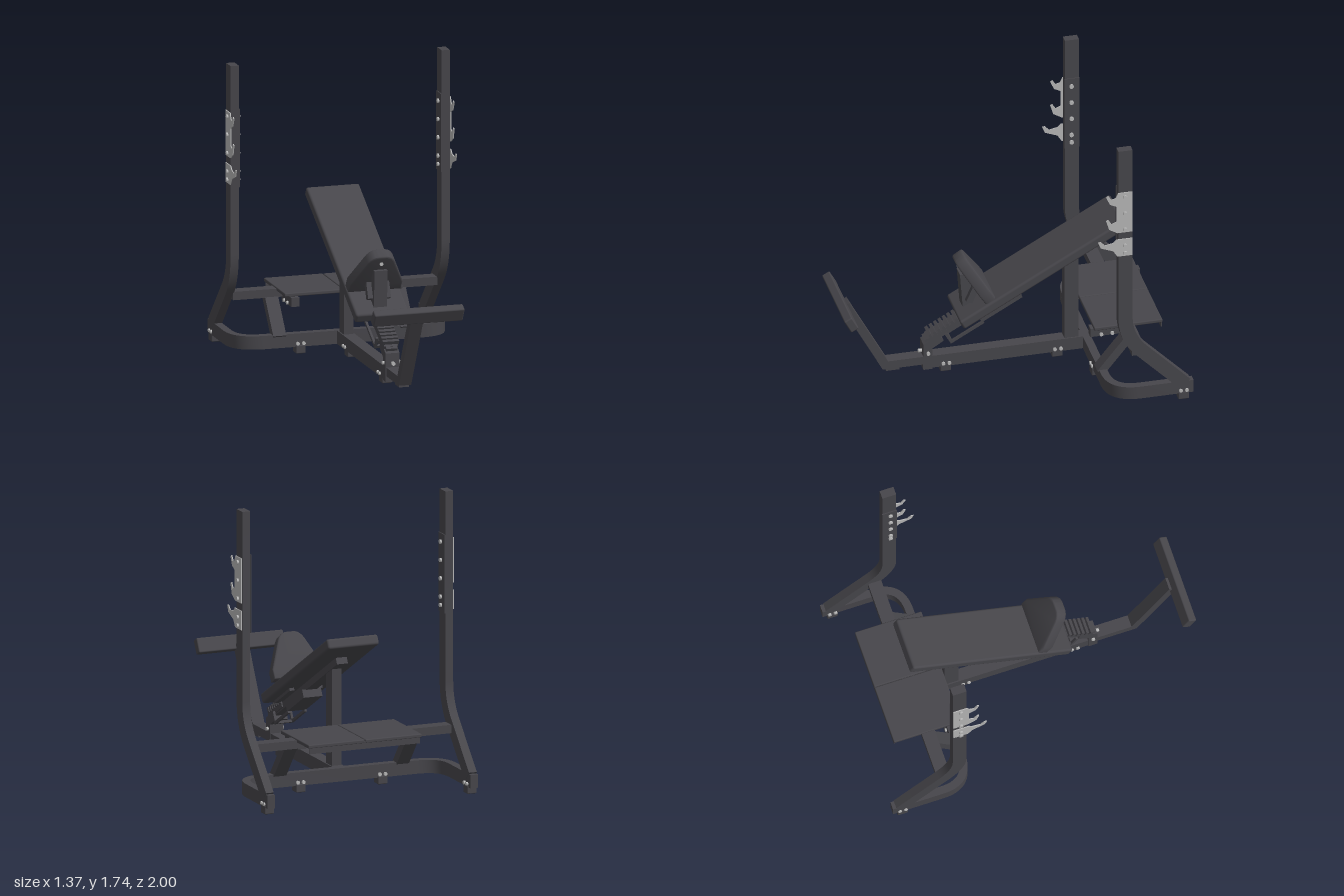
import * as THREE from 'three';
import { toCreasedNormals } from 'three/addons/utils/BufferGeometryUtils.js';
import { RoundedBoxGeometry } from 'three/addons/geometries/RoundedBoxGeometry.js';

const V = (x, y, z) => new THREE.Vector3(x, y, z);
const X = V(1, 0, 0), Y = V(0, 1, 0);

// Round the inner corners of a polyline
function bend(pts, cut) {
  const out = [pts[0]];
  for (let i = 1; i < pts.length - 1; i++) {
    const a = pts[i].clone().add(pts[i - 1].clone().sub(pts[i]).setLength(cut));
    const b = pts[i].clone().add(pts[i + 1].clone().sub(pts[i]).setLength(cut));
    out.push(...new THREE.QuadraticBezierCurve3(a, pts[i], b).getPoints(10));
  }
  out.push(pts[pts.length - 1]);
  return out;
}

// Rectangular tube along a planar path with mitred joints;
// w is measured along the plane's normal b, h within the plane
function tubeGeometry(pts, b, w, h) {
  const pos = [], idx = [], last = pts.length - 1;
  pts.forEach((p, i) => {
    const t0 = pts[Math.max(i, 1)].clone().sub(pts[Math.max(i, 1) - 1]).normalize();
    const k = Math.min(i, last - 1);
    const t1 = pts[k + 1].clone().sub(pts[k]).normalize();
    const t = t0.clone().add(t1).normalize();
    const n = t.clone().cross(b).multiplyScalar(h / 2 / t.dot(t1));
    for (const [sb, sn] of [[1, 1], [-1, 1], [-1, -1], [1, -1]]) {
      const q = p.clone().addScaledVector(b, sb * w / 2).addScaledVector(n, sn);
      pos.push(q.x, q.y, q.z);
    }
    if (i < last) for (let c = 0; c < 4; c++) {
      const a0 = i * 4 + c, a1 = i * 4 + (c + 1) % 4;
      idx.push(a0, a1, a1 + 4, a0, a1 + 4, a0 + 4);
    }
  });
  const e = last * 4;
  idx.push(e, e + 1, e + 2, e, e + 2, e + 3, 2, 1, 0, 3, 2, 0);
  const g = new THREE.BufferGeometry();
  g.setAttribute('position', new THREE.Float32BufferAttribute(pos, 3));
  g.setIndex(idx);
  return toCreasedNormals(g, 0.5);
}

export function createModel() {
  const model = new THREE.Group();
  model.name = 'inclineBench';
  const mat = (name, color) => Object.assign(new THREE.MeshStandardMaterial({ color }), { name });
  const frame = mat('charcoal', 0x47464b);
  const steel = mat('brightSteel', 0xb8b8b8);

  const add = (name, geo, m = frame, parent = model) => {
    const mesh = new THREE.Mesh(geo, m);
    mesh.name = name;
    parent.add(mesh);
    return mesh;
  };
  const box = (name, w, h, d, x, y, z, parent = model, r = 0) => {
    const g = r ? new RoundedBoxGeometry(w, h, d, 3, r) : new THREE.BoxGeometry(w, h, d);
    const mesh = add(name, g, frame, parent);
    mesh.position.set(x, y, z);
    return mesh;
  };
  const tube = (name, pts, b, w, h) => add(name, tubeGeometry(pts, b, w, h));
  const bolt = (x, y, z, axis = 'x', len = 0.015, r = 0.011) => {
    const mesh = add('bolt', new THREE.CylinderGeometry(r, r, len, 12), steel);
    mesh.position.set(x, y, z);
    if (axis === 'x') mesh.rotation.z = Math.PI / 2; else mesh.rotation.x = Math.PI / 2;
  };

  // Base: curved rear frame and central spine
  tube('baseFrame', bend([V(-0.645, 0.08, -1), V(-0.645, 0.08, -0.515),
    V(0.645, 0.08, -0.515), V(0.645, 0.08, -1)], 0.17), Y, 0.08, 0.048);
  box('spine', 0.075, 0.08, 0.98, 0, 0.08, -0.02);
  box('spinePost', 0.06, 0.6, 0.085, 0, 0.4, -0.425);
  tube('frontPost', [V(0, 0.035, 0.44), V(0, 0.19, 0.44), V(0, 0.24, 0.36)], X, 0.085, 0.055);
  bolt(0, 0.145, 0.44, 'x', 0.11);
  bolt(0, 0.145, 0.47, 'z', 0.04);

  // Foot rest arm and cross pad
  tube('footRestArm', [V(0, 0.095, 0.45), V(0, 0.095, 0.695), V(0, 0.54, 0.935)], X, 0.075, 0.052);
  const foot = box('footRest', 0.55, 0.09, 0.052, 0, 0.545, 0.957, model, 0.008);
  foot.rotation.x = 0.5;
  box('armFoot', 0.06, 0.02, 0.08, 0, 0.063, 0.65);

  // Uprights, platform posts and racking plates on both sides
  const upperHook = [[-0.63, 1.46], [-0.63, 1.19], [-0.54, 1.19], [-0.49, 1.22], [-0.472, 1.28],
    [-0.485, 1.287], [-0.505, 1.255], [-0.535, 1.268], [-0.535, 1.37], [-0.495, 1.39],
    [-0.472, 1.44], [-0.485, 1.45], [-0.505, 1.42], [-0.53, 1.428], [-0.545, 1.46]];
  const lowerHook = [[-0.63, 1.145], [-0.63, 1.03], [-0.54, 1.03], [-0.515, 1.07], [-0.44, 1.1],
    [-0.423, 1.14], [-0.44, 1.142], [-0.465, 1.115], [-0.515, 1.125], [-0.535, 1.145]];
  for (const s of [-1, 1]) {
    tube('upright', bend([V(s * 0.645, 1.74, -0.59), V(s * 0.645, 0.465, -0.59),
      V(s * 0.645, 0.1, -0.95)], 0.14), X, 0.05, 0.085);
    for (const pts of [upperHook, lowerHook]) {
      const shape = new THREE.Shape(pts.map(([z, y]) => new THREE.Vector2(-z, y)));
      const g = new THREE.ExtrudeGeometry(shape, { depth: 0.006, bevelEnabled: false });
      g.rotateY(Math.PI / 2).translate(s * 0.673 - 0.003, 0, 0);
      add('rackingHook', g, steel);
    }
    box('innerPlate', 0.006, 0.47, 0.09, s * 0.617, 1.245, -0.59);
    for (const y of [1.05, 1.1, 1.21, 1.32, 1.43]) {
      bolt(s * 0.68, y, -0.585, 'x', 0.014, 0.013);
      bolt(s * 0.61, y, -0.585, 'x', 0.014, 0.013);
    }
    tube('platformPost', [V(s * 0.39, 0.1, -0.5), V(s * 0.39, 0.335, -0.69)], X, 0.08, 0.05);
    box('platformBracket', 0.05, 0.055, 0.19, s * 0.3, 0.315, -0.56);
    for (const z of [-0.53, -0.595]) bolt(s * 0.328, 0.3, z);
    box('platformPanel', 0.359, 0.022, 0.41, s * 0.181, 0.357, -0.685, model, 0.006);
  }
  box('crossbar', 1.25, 0.05, 0.08, 0, 0.335, -0.68);
  box('platformLip', 0.7, 0.045, 0.006, 0, 0.335, -0.885);

  // Rubber feet with their bolts
  for (const [x, z] of [[0, 0.33], [0, -0.34], [0.26, -0.515], [-0.26, -0.515], [0.643, -0.94], [-0.643, -0.94]]) {
    box('foot', 0.06, 0.05, 0.065, x, 0.025, z, model, 0.006);
    const cross = Math.abs(x) === 0.26;
    for (const o of [-0.018, 0.018]) for (const s of [-1, 1]) {
      if (cross) bolt(x + o, 0.06, z + s * 0.027, 'z');
      else bolt(x + s * (x ? 0.027 : 0.04), 0.06, z + o);
    }
  }

  // Inclined back pad with its rail, in tilted local axes
  const incline = new THREE.Group();
  incline.name = 'incline';
  incline.position.set(0, 0.645, -0.224);
  incline.rotation.x = 0.508;
  model.add(incline);
  box('backPad', 0.325, 0.062, 1.12, 0, 0, 0, incline, 0.014);
  box('inclineRail', 0.07, 0.042, 1.14, 0, -0.05, 0.23, incline);
  for (let i = 0; i < 7; i++) box('ladderTooth', 0.1, 0.03, 0.018, 0, -0.02, 0.575 + i * 0.03, incline);
  box('ladderBase', 0.085, 0.035, 0.22, 0, -0.045, 0.67, incline);
  box('slideHousing', 0.12, 0.05, 0.28, 0, -0.092, 0.32, incline);
  for (const s of [-1, 1]) {
    box('handleBar', 0.014, 0.016, 0.23, s * 0.053, -0.122, 0.565, incline);
    box('handleStem', 0.014, 0.075, 0.016, s * 0.053, -0.092, 0.672, incline);
    box('padBracket', 0.03, 0.02, 0.25, s * 0.09, -0.038, 0.38, incline);
  }
  box('handleGrip', 0.12, 0.016, 0.016, 0, -0.122, 0.672, incline);

  // Tapered seat pad and its support
  const s = new THREE.Shape();
  s.moveTo(-0.152, 0.01);
  s.lineTo(0.152, 0.01);
  s.lineTo(0.152, 0.06);
  s.lineTo(0.075, 0.235);
  s.quadraticCurveTo(0.055, 0.276, 0.02, 0.276);
  s.lineTo(-0.02, 0.276);
  s.quadraticCurveTo(-0.055, 0.276, -0.075, 0.235);
  s.lineTo(-0.152, 0.06);
  const seatGeo = new THREE.ExtrudeGeometry(s, {
    depth: 0.05, bevelThickness: 0.01, bevelSize: 0.01, bevelSegments: 3, curveSegments: 8 });
  seatGeo.translate(0, 0, -0.025);
  const seat = add('seatPad', toCreasedNormals(seatGeo, 0.6));
  seat.position.set(0, 0.517, 0.092);
  seat.rotation.x = 0.586;
  tube('seatSupport', [V(0, 0.65, 0.218), V(0, 0.41, 0.2)], X, 0.08, 0.06);
  tube('seatBrace', [V(0, 0.56, 0.16), V(0, 0.47, 0.2)], X, 0.14, 0.04);
  bolt(0, 0.69, 0.246, 'z', 0.02);

  return model;
}
